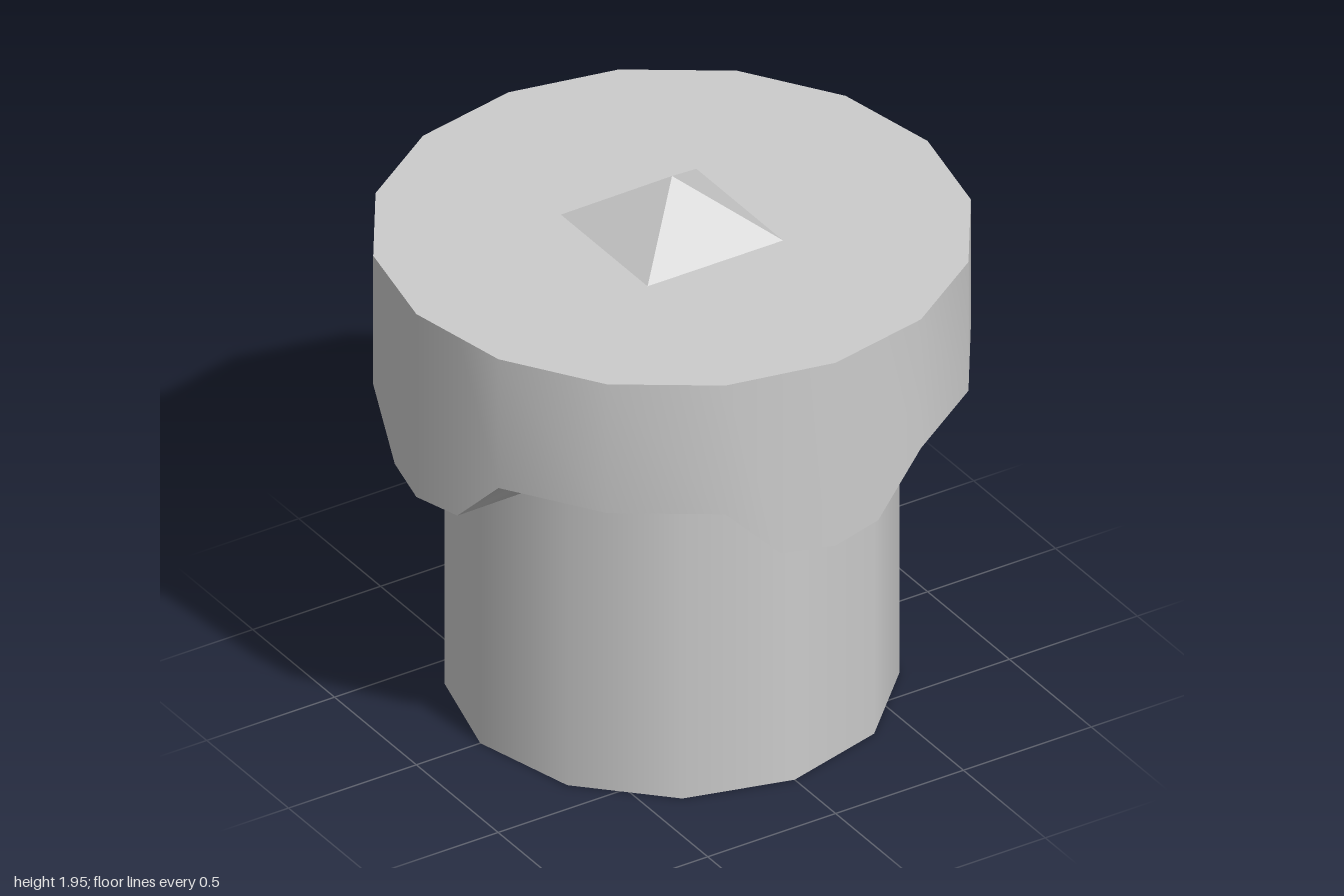
import * as THREE from 'three';
import { toCreasedNormals } from 'three/addons/utils/BufferGeometryUtils.js';

const BODY_R = 0.75, HEAD_R = 1, HEAD_TOP = 1.75, RIM_Y = 1.25;
const LOBE_MID_Y = 1.055, LOBE_TIP_Y = 1.04;

// Point on a circle, angle in degrees measured from the front (+z) towards +x
function polar(r, deg, y) {
  const a = THREE.MathUtils.degToRad(deg);
  return new THREE.Vector3(r * Math.sin(a), y, r * Math.cos(a));
}

// One ring of the head: lobe tip, lobe shoulder, flank and diagonal, four times round.
// flankDeg is the angle from the lobe tip to its flank corner.
function ring(r, flankDeg, diagonalR, tipY, midY, rimY) {
  const points = [];
  for (let q = 0; q < 4; q++) {
    const a = q * 90;
    const tip = polar(r, a, tipY), next = polar(r, a + 90, tipY);
    const flankA = polar(r, a + flankDeg, rimY);
    const flankB = polar(r, a + 90 - flankDeg, rimY);
    const midA = tip.clone().lerp(flankA, 0.5).setY(midY);
    const midB = next.lerp(flankB, 0.5).setY(midY);
    points.push(tip, midA, flankA, polar(diagonalR, a + 45, rimY), flankB, midB);
  }
  return points;
}

// Skin the rings in order, from top to bottom, with a fan closing the first ring
function skin(rings, topCentre) {
  const n = rings[0].length;
  const points = [...rings.flat(), topCentre];
  const index = [];
  for (let i = 0; i < n; i++) {
    const j = (i + 1) % n;
    index.push(n * rings.length, i, j);
    for (let k = 0; k < rings.length - 1; k++) {
      const a = k * n, b = a + n;
      index.push(a + i, b + i, b + j, a + i, b + j, a + j);
    }
  }
  const geometry = new THREE.BufferGeometry().setFromPoints(points);
  geometry.setIndex(index);
  return toCreasedNormals(geometry, 1.0);
}

export function createModel() {
  const group = new THREE.Group();
  const smooth = new THREE.MeshStandardMaterial({ color: 0xcccccc, side: THREE.DoubleSide });
  const faceted = new THREE.MeshStandardMaterial({ color: 0xcccccc, flatShading: true });

  const add = (name, geometry, material, y = 0) => {
    const mesh = new THREE.Mesh(geometry, material);
    mesh.name = name;
    mesh.position.y = y;
    group.add(mesh);
  };

  // Hollow twelve-sided body, open at the bottom
  add('body', new THREE.CylinderGeometry(BODY_R, BODY_R, RIM_Y, 12, 1, true), smooth, RIM_Y / 2);

  // Sixteen-sided head with four lobes hanging over the body
  const innerDiagonal = BODY_R * Math.cos(Math.PI / 12);
  add('head', skin([
    ring(HEAD_R, 22.5, HEAD_R, HEAD_TOP, HEAD_TOP, HEAD_TOP),
    ring(HEAD_R, 22.5, HEAD_R, LOBE_TIP_Y, LOBE_MID_Y, RIM_Y),
    ring(BODY_R, 30, innerDiagonal, LOBE_TIP_Y, LOBE_MID_Y, RIM_Y),
  ], new THREE.Vector3(0, HEAD_TOP, 0)), smooth);

  // Small pyramid on top
  const pyramid = new THREE.ConeGeometry(0.265 * Math.SQRT2, 0.2, 4, 1, true);
  pyramid.rotateY(Math.PI / 4);
  add('topPyramid', pyramid, faceted, HEAD_TOP + 0.1);

  return group;
}
